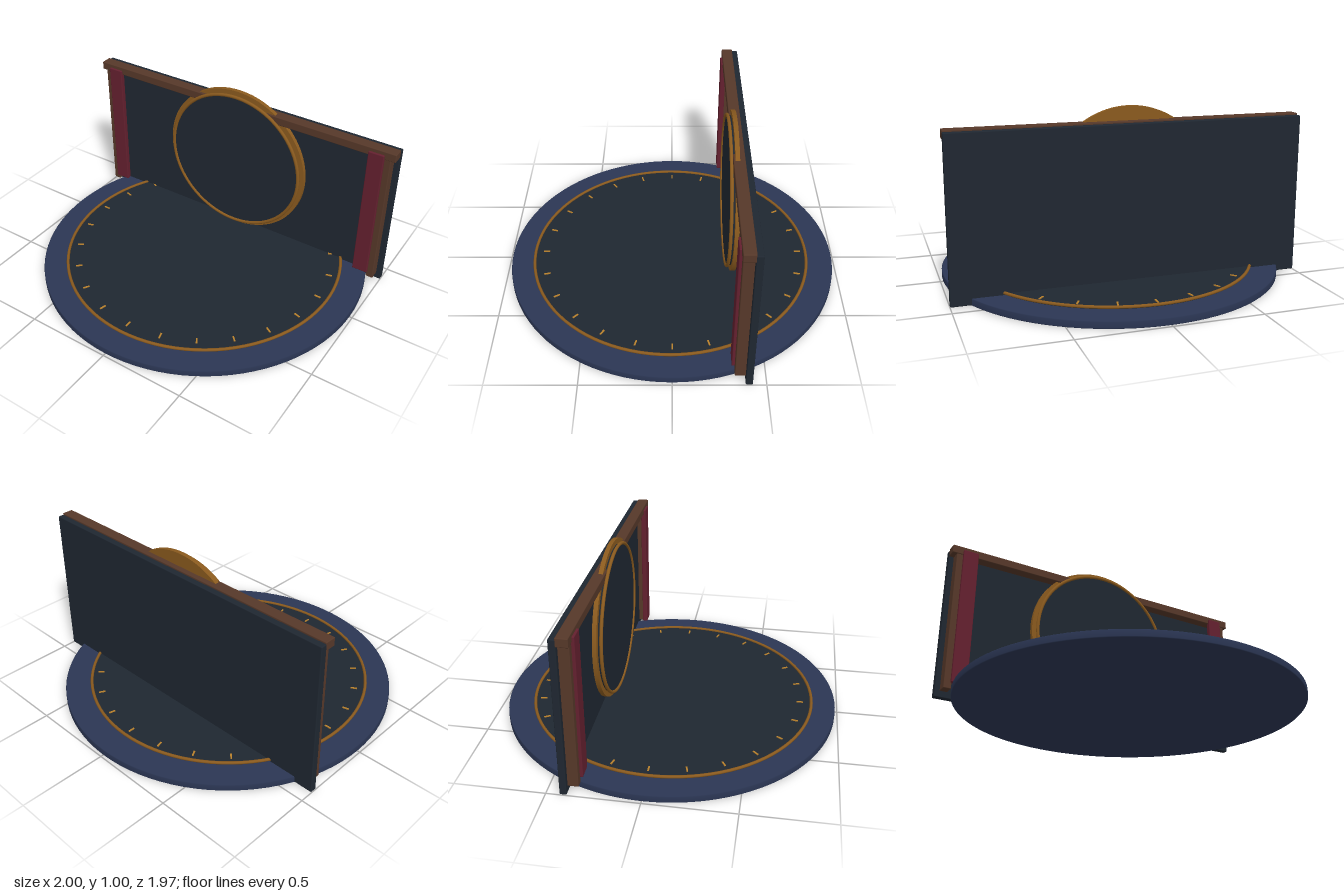
import * as THREE from 'three';
import { RoundedBoxGeometry } from 'three/addons/geometries/RoundedBoxGeometry.js';

const paint = (color) => new THREE.MeshStandardMaterial({ color });

export function createModel() {
  const model = new THREE.Group();
  const navy = paint(0x2b3654), dark = paint(0x1f2731), brass = paint(0x8a5a1e);
  const gold = paint(0xb8802c), wood = paint(0x563829), red = paint(0x64202f);

  const add = (name, geometry, material, x, y, z) => {
    const mesh = new THREE.Mesh(geometry, material);
    mesh.name = name;
    mesh.position.set(x, y, z);
    model.add(mesh);
    return mesh;
  };
  // Box given by its lower and upper corners, with softened edges
  const box = (name, material, [x0, y0, z0], [x1, y1, z1], r = 0.005) =>
    add(name, new RoundedBoxGeometry(x1 - x0, y1 - y0, z1 - z0, 2, r), material,
      (x0 + x1) / 2, (y0 + y1) / 2, (z0 + z1) / 2);

  // Round base with a slightly softened rim
  const rim = [[0, 0], [0.981, 0], [0.985, 0.004], [0.985, 0.036], [0.981, 0.04], [0, 0.04]];
  const profile = rim.map(([x, y]) => new THREE.Vector2(x, y));
  add('base', new THREE.LatheGeometry(profile, 96), navy, 0, 0, 0);

  // Dark floor with its brass border
  add('floor', new THREE.CylinderGeometry(0.835, 0.835, 0.012, 96), dark, 0, 0.042, 0.009);
  const border = add('floorRing', new THREE.TorusGeometry(0.836, 0.009, 8, 96), brass, 0, 0.051, 0.009);
  border.rotation.x = Math.PI / 2;

  // Hour ticks around the floor
  const tick = new THREE.BoxGeometry(0.009, 0.006, 0.038);
  for (let i = 0; i < 24; i++) {
    const a = (i / 24) * Math.PI * 2;
    add('tick', tick, gold, Math.sin(a) * 0.777, 0.05, Math.cos(a) * 0.777).rotation.y = a;
  }

  // Back wall, top beam, side posts and curtains
  box('backWall', dark, [-1, 0.003, -0.426], [1, 0.912, -0.388]);
  box('topBeam', wood, [-1, 0.872, -0.392], [1, 0.922, -0.326]);
  for (const s of [-1, 1]) {
    const post = box('sidePost', wood, [0.928, 0.04, -0.392], [0.972, 0.88, -0.33]);
    const curtain = box('curtain', red, [0.844, 0.076, -0.345], [0.936, 0.9, -0.314]);
    post.position.x *= s;
    curtain.position.x *= s;
  }

  // Large round dial on the wall
  const disc = (name, r, z0, z1, material) => {
    const mesh = add(name, new THREE.CylinderGeometry(r, r, z1 - z0, 96), material, 0, 0.53, (z0 + z1) / 2);
    mesh.rotation.x = Math.PI / 2;
  };
  disc('dialPlate', 0.47, -0.362, -0.337, brass);
  disc('dialFace', 0.438, -0.34, -0.318, dark);
  add('dialRing', new THREE.TorusGeometry(0.441, 0.01, 10, 96), brass, 0, 0.53, -0.318);

  return model;
}
